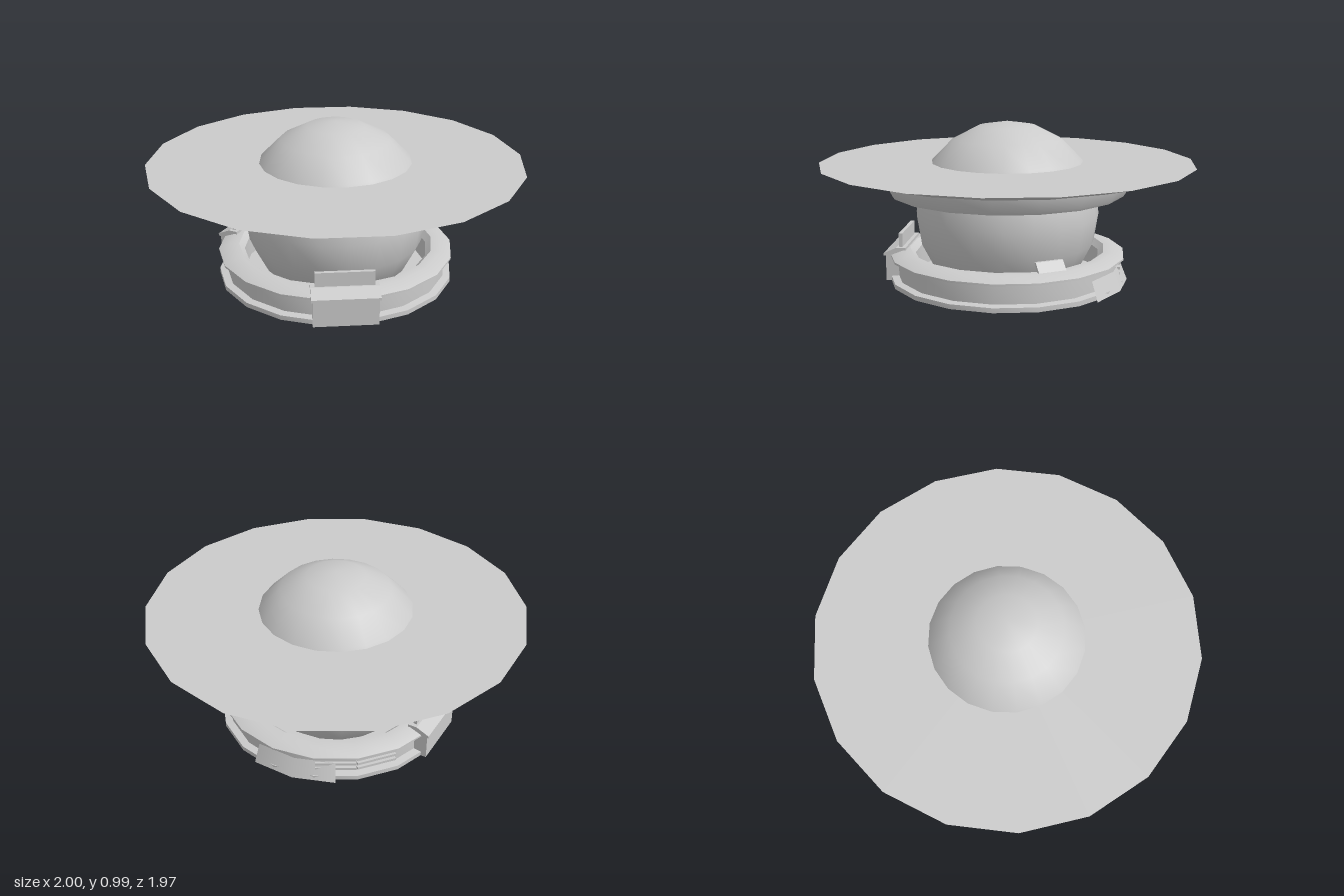
import * as THREE from 'three';
import { toCreasedNormals } from 'three/addons/utils/BufferGeometryUtils.js';

const SIDES = 18;
const deg = THREE.MathUtils.degToRad;

export function createModel() {
  const model = new THREE.Group();
  const mat = new THREE.MeshStandardMaterial({ color: 0xcccccc, side: THREE.DoubleSide });

  const add = (parent, name, geo, x = 0, y = 0, z = 0) => {
    const mesh = new THREE.Mesh(geo, mat);
    mesh.name = name;
    mesh.position.set(x, y, z);
    parent.add(mesh);
    return mesh;
  };

  // Eighteen-sided turned part, with a corner on the x axis
  const turned = (name, points) => {
    const geo = new THREE.LatheGeometry(points.map(([r, y]) => new THREE.Vector2(r, y)), SIDES, Math.PI / 2);
    return add(model, name, toCreasedNormals(geo, 0.6));
  };

  // Group whose local +z points outward at an angle measured from the front
  const facet = (name, angle) => {
    const group = new THREE.Group();
    group.name = name;
    group.rotation.y = deg(angle);
    model.add(group);
    return group;
  };

  // Side profile (outward, up) extruded across a given width
  const profile = (points, width) => {
    const shape = new THREE.Shape(points.map(([z, y]) => new THREE.Vector2(z, y)));
    const geo = new THREE.ExtrudeGeometry(shape, { depth: width, bevelEnabled: false });
    return geo.translate(0, 0, -width / 2).rotateY(-Math.PI / 2);
  };

  // Central ball
  add(model, 'ball', new THREE.SphereGeometry(0.495, 20, 10), 0, 0.5, 0);

  // Wide upper disc with a bevelled underside
  turned('upperDisc', [[0, 0.73], [0.81, 0.73], [1, 0.78], [0, 0.78]]);

  // Hollow collar under the disc
  turned('collar', [[0.58, 0.73], [0.58, 0.635], [0.595, 0.62], [0.63, 0.62], [0.64, 0.635],
    [0.67, 0.705], [0.67, 0.73]]);

  // Lower ring: base plate, recessed wall, sloped flange and inner wall
  turned('lowerRing', [[0.33, 0.16], [0.33, 0.14], [0.64, 0.14], [0.64, 0.165], [0.6, 0.17],
    [0.6, 0.27], [0.64, 0.275], [0.64, 0.285], [0.58, 0.31], [0.53, 0.31], [0.5, 0.28], [0.5, 0.16], [0.33, 0.16]]);

  // Two clamps on the right half of the ring
  for (const [name, angle] of [['frontClamp', -40], ['backClamp', 200]]) {
    const clamp = facet(name, angle);
    add(clamp, 'clampCase', profile([[0.53, 0.14], [0.64, 0.14], [0.64, 0.28], [0.53, 0.28]], 0.33));
    add(clamp, 'clampCap', profile([[0.53, 0.28], [0.65, 0.28], [0.65, 0.293], [0.58, 0.325], [0.53, 0.325]], 0.345));
    add(clamp, 'clampTab', new THREE.BoxGeometry(0.3, 0.12, 0.02), 0, 0.34, 0.56);
  }

  // Small leaning tab on the left side
  const tab = facet('leaningTab', 80);
  add(tab, 'tabPlate', profile([[0.545, 0.29], [0.575, 0.29], [0.52, 0.355], [0.505, 0.355]], 0.15));

  // Curved skirt panel flaring out to the base
  add(model, 'skirtPanel',
    new THREE.CylinderGeometry(0.615, 0.655, 0.1, 2, 1, true, deg(100), deg(40)), 0, 0.19, 0);

  // Stacked rails in the groove behind the panel
  for (const angle of [140, 160]) {
    const rails = facet('grooveRails', angle);
    for (const y of [0.2, 0.23, 0.258]) {
      add(rails, 'rail', new THREE.BoxGeometry(0.21, 0.014, 0.04), 0, y, 0.595);
    }
  }

  return model;
}
